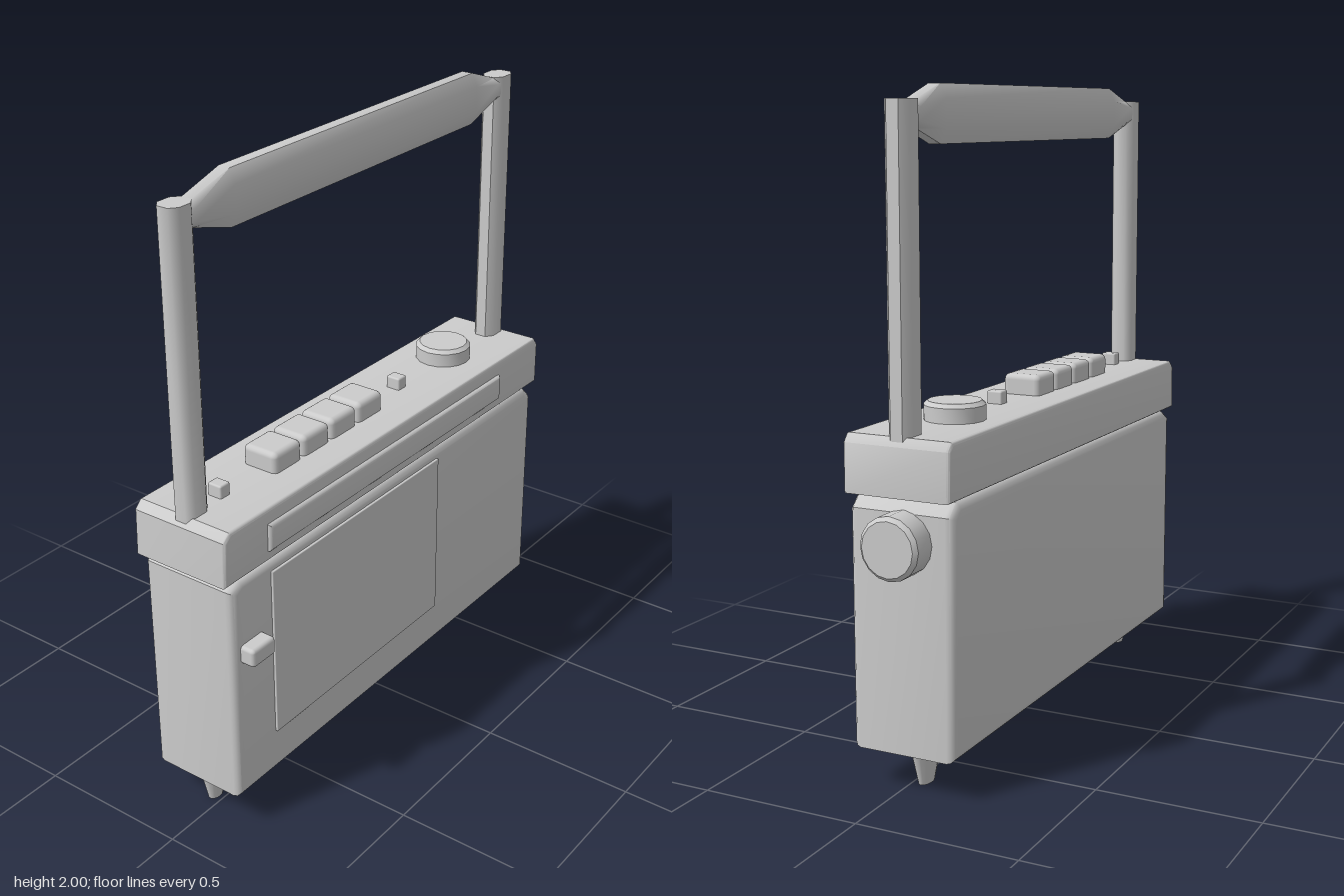
import * as THREE from 'three';
import { toCreasedNormals } from 'three/addons/utils/BufferGeometryUtils.js';
import { RoundedBoxGeometry } from 'three/addons/geometries/RoundedBoxGeometry.js';

const grey = new THREE.MeshStandardMaterial({ color: 0xcccccc });
const MID_Z = -0.025; // depth of the case's centre line

export function createModel() {
  const group = new THREE.Group();

  const add = (name, geometry, x = 0, y = 0, z = 0) => {
    const mesh = new THREE.Mesh(geometry, grey);
    mesh.name = name;
    mesh.position.set(x, y, z);
    group.add(mesh);
    return mesh;
  };

  // Box given by its limits, with softened edges
  const box = (name, x0, x1, y0, y1, z0, z1, r = 0.01) =>
    add(name, new RoundedBoxGeometry(x1 - x0, y1 - y0, z1 - z0, 2, r),
      (x0 + x1) / 2, (y0 + y1) / 2, (z0 + z1) / 2);

  // Front outline extruded along z with a bevelled rim
  const slab = (name, points, z0, z1, bevel) => {
    const shape = new THREE.Shape(points.map(([x, y]) => new THREE.Vector2(x, y)));
    const geometry = new THREE.ExtrudeGeometry(shape, {
      depth: z1 - z0 - 2 * bevel, bevelThickness: bevel, bevelSize: bevel,
      bevelOffset: -bevel, bevelSegments: 3,
    });
    return add(name, toCreasedNormals(geometry, 0.7), 0, 0, z0 + bevel);
  };

  // Closed loft through eight-sided sections: [position, low, high, halfDepth]
  const loft = (sections) => {
    const k = 0.5;
    const ring = [[1, k], [k, 1], [-k, 1], [-1, k], [-1, -k], [-k, -1], [k, -1], [1, -k]];
    const pos = [], index = [], n = ring.length;
    sections.forEach(([x, low, high, d]) => ring.forEach(([a, b]) =>
      pos.push(x, (low + high) / 2 + b * (high - low) / 2, -a * d)));
    for (let s = 0; s < sections.length - 1; s++) {
      for (let i = 0; i < n; i++) {
        const a = s * n + i, b = s * n + (i + 1) % n;
        index.push(a, a + n, b, b, a + n, b + n);
      }
    }
    const last = (sections.length - 1) * n;
    for (let i = 1; i < n - 1; i++) {
      index.push(0, i, i + 1, last, last + i + 1, last + i);
    }
    const geometry = new THREE.BufferGeometry();
    geometry.setAttribute('position', new THREE.Float32BufferAttribute(pos, 3));
    geometry.setIndex(index);
    // Wind the faces outward
    for (let i = 0; i < index.length; i += 3) {
      const [p, q, r] = [0, 1, 2].map((j) =>
        new THREE.Vector3().fromArray(pos, index[i + j] * 3));
      const normal = q.clone().sub(p).cross(r.clone().sub(p));
      const centre = p.clone().add(q).add(r).divideScalar(3);
      const mid = sections[Math.floor(sections.length / 2)];
      const core = new THREE.Vector3(
        (sections[0][0] + sections.at(-1)[0]) / 2, (mid[1] + mid[2]) / 2, 0);
      if (normal.dot(centre.sub(core)) < 0) {
        [index[i + 1], index[i + 2]] = [index[i + 2], index[i + 1]];
      }
    }
    geometry.setIndex(index);
    return toCreasedNormals(geometry, 0.9);
  };

  // Round control with a chamfered rim, axis along y from its base
  const knob = (radius, height) => toCreasedNormals(new THREE.LatheGeometry([
    [0, 0], [radius, 0], [radius, height - 0.012], [radius - 0.012, height], [0, height],
  ].map(([r, y]) => new THREE.Vector2(r, y)), 16), 0.5);

  // Case, with chamfered shoulders
  slab('body', [[-0.845, 0.12], [0.78, 0.12], [0.78, 0.83], [0.74, 0.87],
    [-0.80, 0.87], [-0.845, 0.845]], -0.19, 0.142, 0.025);

  // Overhanging lid
  slab('topPanel', [[-0.87, 0.875], [0.805, 0.875], [0.805, 1.02], [0.785, 1.045],
    [-0.84, 1.045], [-0.865, 1.02]], -0.195, 0.143, 0.01);

  // Front details
  box('frontPanel', -0.67, 0.185, 0.265, 0.835, 0.12, 0.15, 0.003);
  slab('dialBar', [[-0.68, 0.908], [0.55, 0.908], [0.55, 0.997], [-0.68, 0.997]],
    0.11, 0.156, 0.014);
  box('frontButton', -0.815, -0.713, 0.595, 0.655, 0.12, 0.19, 0.012);

  // Row of keys on the lid
  for (let i = 0; i < 4; i++) {
    const x = -0.507 + i * 0.137;
    box('key', x, x + 0.127, 1.03, 1.11, -0.09, 0.035, 0.018);
  }
  for (const x of [-0.69, 0.19]) {
    box('smallButton', x - 0.021, x + 0.021, 1.03, 1.085, -0.05, 0, 0.006);
  }

  // Top and side knobs
  add('topKnob', knob(0.092, 0.062), 0.478, 1.04, -0.035);
  add('sideKnob', knob(0.093, 0.096), 0.77, 0.745, -0.032).rotation.z = -Math.PI / 2;

  // Handle posts
  for (const [x, width] of [[-0.809, 0.092], [0.746, 0.098]]) {
    const post = add('handlePost', loft([[1.03, -width / 2, width / 2, 0.038],
      [1.957, -width / 2, width / 2, 0.038]]), x, 0, MID_Z);
    post.rotation.z = Math.PI / 2;
  }

  // Grip, tapering into the posts
  add('handleGrip', loft([[-0.80, 1.878, 1.955, 0.034], [-0.765, 1.878, 1.955, 0.034],
    [-0.61, 1.834, 2, 0.038], [0.565, 1.834, 2, 0.038],
    [0.70, 1.878, 1.955, 0.034], [0.74, 1.878, 1.955, 0.034]]), 0, 0, MID_Z);

  // Tapered feet
  for (const [x, radius] of [[-0.764, 0.056], [0.66, 0.075]]) {
    const foot = add('foot', new THREE.CylinderGeometry(radius, radius * 0.48, 0.13, 16),
      x, 0.065, -0.032);
    foot.scale.z = 0.038 / radius;
  }

  return group;
}
